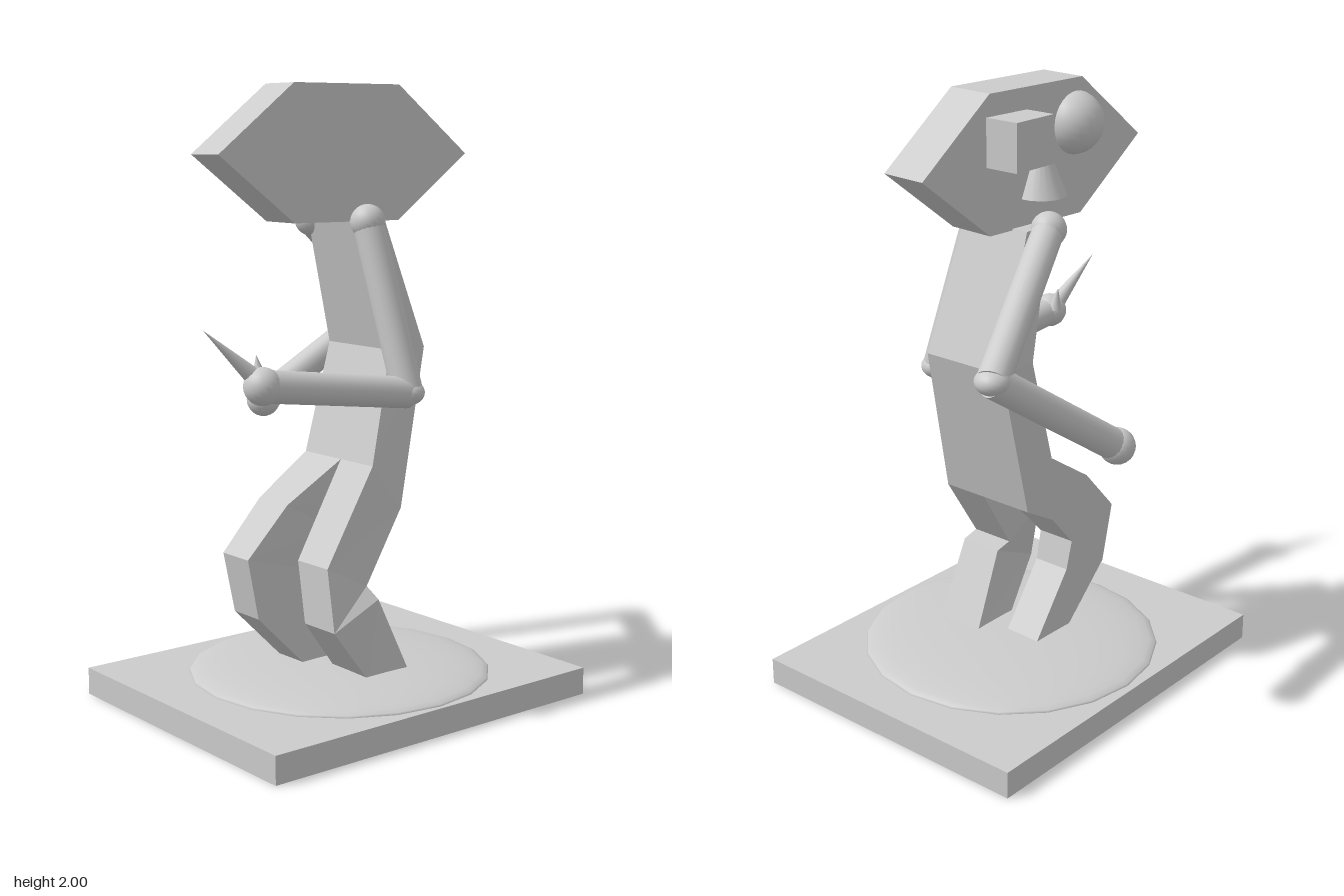
import * as THREE from 'three';

const flat = new THREE.MeshStandardMaterial({ color: 0xcccccc, flatShading: true });
const smooth = new THREE.MeshStandardMaterial({ color: 0xcccccc });
const V = (a) => new THREE.Vector3(...a);
const UP = new THREE.Vector3(0, 1, 0);

function part(parent, name, geometry, material, pos = [0, 0, 0]) {
  const mesh = new THREE.Mesh(geometry, material);
  mesh.name = name;
  mesh.position.set(...pos);
  parent.add(mesh);
  return mesh;
}

// Faceted loft from top to bottom; section = [xMin, xMax, frontZ, frontY, backZ, backY]
function loft(sections) {
  const pos = [], idx = [];
  for (const [a, b, zf, yf, zb, yb] of sections)
    pos.push(a, yf, zf, b, yf, zf, b, yb, zb, a, yb, zb);
  const n = sections.length;
  for (let s = 0; s < n - 1; s++)
    for (let i = 0; i < 4; i++) {
      const p = s * 4 + i, q = s * 4 + (i + 1) % 4;
      idx.push(p, p + 4, q, q, p + 4, q + 4);
    }
  const e = (n - 1) * 4;
  idx.push(0, 1, 2, 0, 2, 3, e, e + 2, e + 1, e, e + 3, e + 2);
  const g = new THREE.BufferGeometry();
  g.setAttribute('position', new THREE.Float32BufferAttribute(pos, 3));
  g.setIndex(idx);
  const out = g.toNonIndexed();
  out.computeVertexNormals();
  return out;
}

// Round bar (or spike when rEnd is 0) between two points
function bar(parent, name, from, to, rStart, rEnd) {
  const a = V(from), b = V(to), d = b.clone().sub(a);
  const mesh = part(parent, name, new THREE.CylinderGeometry(rEnd, rStart, d.length(), 20), smooth);
  mesh.position.copy(a).add(b).multiplyScalar(0.5);
  mesh.quaternion.setFromUnitVectors(UP, d.normalize());
  return mesh;
}

function ball(parent, name, pos, r, sy = 1) {
  const mesh = part(parent, name, new THREE.SphereGeometry(r, 20, 14), smooth, pos);
  mesh.scale.y = sy;
  return mesh;
}

function arm(parent, side, shoulder, elbow, hand) {
  const g = new THREE.Group();
  g.name = side + 'Arm';
  parent.add(g);
  ball(g, side + 'Shoulder', shoulder, 0.056);
  bar(g, side + 'UpperArm', shoulder, elbow, 0.05, 0.05);
  ball(g, side + 'Elbow', elbow, 0.055, 0.75);
  bar(g, side + 'Forearm', elbow, hand, 0.05, 0.05);
  ball(g, side + 'Hand', hand, 0.058);
  return g;
}

export function createModel() {
  const model = new THREE.Group();
  model.name = 'figure';

  // Base slab with a shallow mound
  part(model, 'base', new THREE.BoxGeometry(1.035, 0.09, 1.28), flat, [0, 0.045, 0]);
  const mound = part(model, 'mound',
    new THREE.SphereGeometry(0.5, 20, 10, 0, Math.PI * 2, 0, Math.PI / 2), smooth, [0.005, 0.088, -0.01]);
  mound.scale.y = 0.1;

  // Body and bent legs
  part(model, 'torso', loft([
    [-0.145, 0.11, 0.0, 1.575, -0.11, 1.575],
    [-0.17, 0.14, -0.11, 1.16, -0.255, 1.16],
    [-0.16, 0.185, 0.0, 0.8, -0.12, 0.65],
  ]), flat);
  part(model, 'rightLeg', loft([
    [-0.16, 0.025, 0.0, 0.8, -0.12, 0.65],
    [-0.15, 0.0, 0.2, 0.67, 0.02, 0.57],
    [-0.145, -0.01, 0.35, 0.51, 0.13, 0.45],
    [-0.14, -0.01, 0.31, 0.31, 0.11, 0.35],
    [-0.135, -0.005, 0.12, 0.12, -0.05, 0.12],
  ]), flat);
  part(model, 'leftLeg', loft([
    [0.025, 0.185, 0.0, 0.8, -0.12, 0.65],
    [0.055, 0.205, 0.2, 0.5, 0.04, 0.42],
    [0.09, 0.24, 0.2, 0.3, 0.02, 0.38],
    [0.07, 0.238, 0.06, 0.12, -0.11, 0.12],
  ]), flat);

  // Hexagonal head slab, turned slightly; its face is on the -x side
  const hex = new THREE.Shape([[0.2, 2], [-0.2, 2], [-0.472, 1.782], [-0.2, 1.57], [0.2, 1.57], [0.472, 1.782]]
    .map(([z, y]) => new THREE.Vector2(-z, y)));
  const headGeo = new THREE.ExtrudeGeometry(hex, { depth: 0.163, bevelEnabled: false });
  headGeo.translate(0, 0, -0.0815);
  headGeo.rotateY(Math.PI / 2);
  part(model, 'head', headGeo, flat, [-0.015, 0, 0]).rotation.y = -0.075;
  ball(model, 'roundEye', [-0.095, 1.86, 0.17], 0.1);
  part(model, 'squareEye', new THREE.BoxGeometry(0.14, 0.15, 0.17), flat, [-0.128, 1.857, -0.135]);
  bar(model, 'nose', [-0.1, 1.66, 0.01], [-0.1, 1.86, 0.01], 0.082, 0);

  // Arms
  arm(model, 'right', [-0.165, 1.57, -0.03], [-0.34, 1.25, -0.495], [-0.45, 0.935, -0.04]);
  const left = arm(model, 'left', [0.11, 1.57, -0.04], [0.265, 1.04, -0.075], [0.23, 1.105, 0.465]);
  bar(left, 'pointingFinger', [0.215, 1.12, 0.47], [0.177, 1.28, 0.64], 0.03, 0);
  bar(left, 'thumb', [0.195, 1.12, 0.45], [0.185, 1.195, 0.455], 0.025, 0);

  return model;
}
